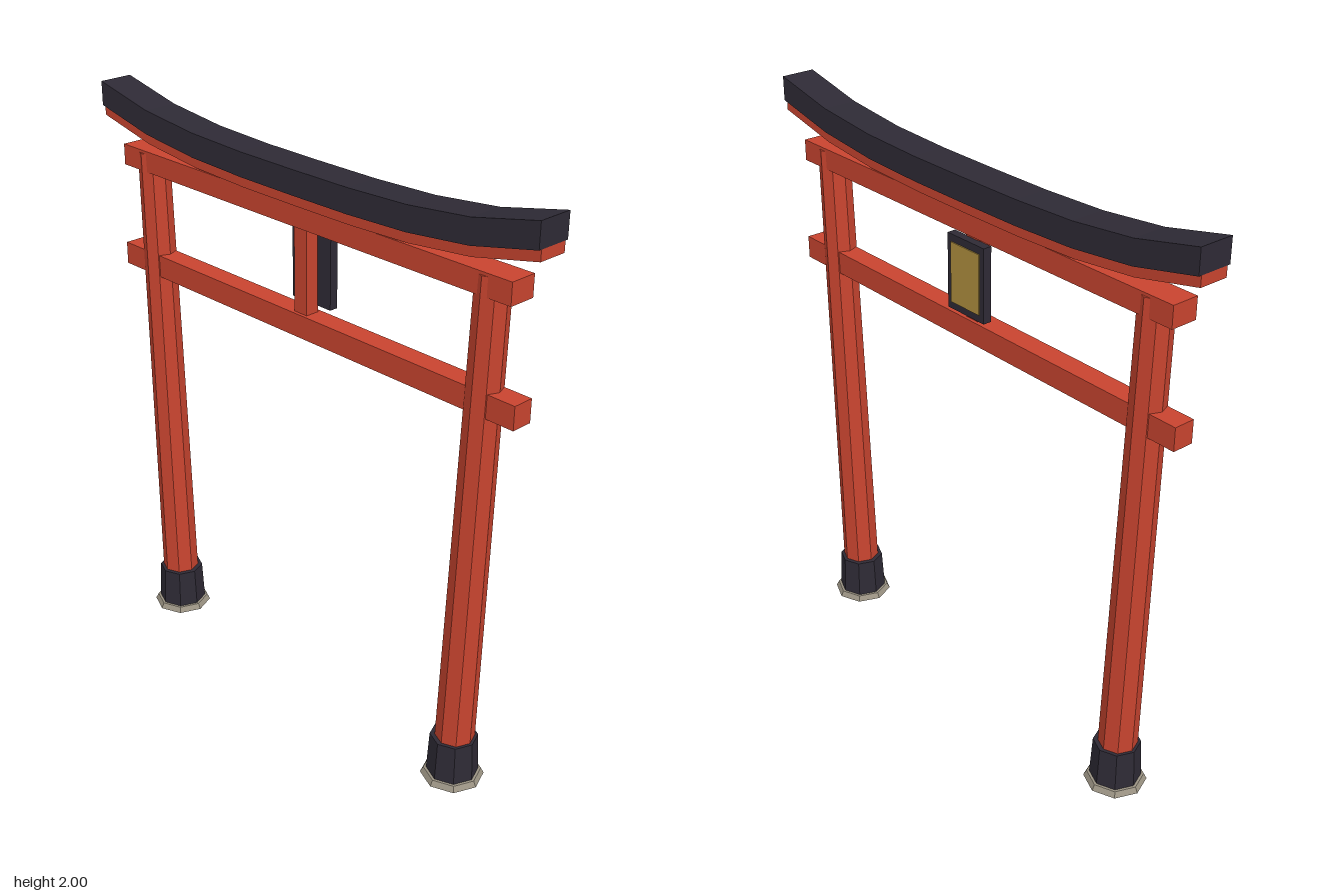
import * as THREE from 'three';

const material = (color) => new THREE.MeshStandardMaterial({ color, flatShading: true });

export function createModel() {
  const gate = new THREE.Group();
  gate.name = 'gate';
  const red = material(0xc8442f);
  const dark = material(0x2e2a35);
  const stone = material(0x9c9484);
  const gold = material(0xb0903f);

  const add = (name, geometry, mat, x = 0, y = 0, z = 0) => {
    const mesh = new THREE.Mesh(geometry, mat);
    mesh.name = name;
    mesh.position.set(x, y, z);
    gate.add(mesh);
    return mesh;
  };

  // Box given by its width, vertical range and depth range
  const block = (name, mat, width, y0, y1, z0, z1) =>
    add(name, new THREE.BoxGeometry(width, y1 - y0, z1 - z0), mat, 0, (y0 + y1) / 2, (z0 + z1) / 2);

  // Eight-sided drum standing on y0; lean shifts its top sideways
  const drum = (name, mat, rTop, rBottom, y0, y1, x, lean = 0) => {
    const h = y1 - y0;
    const geometry = new THREE.CylinderGeometry(rTop, rBottom, h, 8);
    geometry.translate(0, h / 2, 0);
    geometry.applyMatrix4(new THREE.Matrix4().makeShear(0, 0, lean / h, 0, 0, 0).identity()
      .set(1, lean / h, 0, 0, 0, 1, 0, 0, 0, 0, 1, 0, 0, 0, 0, 1));
    return add(name, geometry, mat, x, y0, 0);
  };

  // Beam whose ends sweep upward, in eight straight segments
  const sweptBeam = (name, mat, yBottom, yTop, depth) => {
    const half = 0.945, top = [], bottom = [];
    for (let i = -4; i <= 4; i++) {
      const t = i / 4;
      const rise = 0.086 * Math.pow(Math.abs(t), 3.2);
      top.push(new THREE.Vector2(t * half, yTop + rise));
      bottom.push(new THREE.Vector2(t * half, yBottom + rise));
    }
    const shape = new THREE.Shape([...bottom, ...top.reverse()]);
    const geometry = new THREE.ExtrudeGeometry(shape, { depth, bevelEnabled: false });
    geometry.translate(0, 0, -depth / 2);
    return add(name, geometry, mat);
  };

  // Leaning pillars with dark sleeves on stone feet
  for (const [side, s] of [['left', 1], ['right', -1]]) {
    drum(side + 'Foot', stone, 0.095, 0.105, 0, 0.02, s * 0.703);
    drum(side + 'Sleeve', dark, 0.079, 0.086, 0.02, 0.16, s * 0.703);
    drum(side + 'Pillar', red, 0.054, 0.066, 0.1, 1.79, s * 0.705, s * 0.048);
  }

  // Horizontal beams
  block('lowerTieBeam', red, 1.77, 1.357, 1.435, -0.037, 0.037);
  block('upperTieBeam', red, 1.71, 1.728, 1.8, -0.047, 0.047);
  sweptBeam('lintel', red, 1.797, 1.832, 0.1);
  sweptBeam('roofBeam', dark, 1.832, 1.914, 0.12);

  // Central strut carrying a framed panel on its back
  block('strut', red, 0.056, 1.43, 1.73, -0.025, 0.025);
  block('plaqueFrame', dark, 0.172, 1.457, 1.71, -0.052, -0.022);
  block('plaquePanel', gold, 0.135, 1.482, 1.685, -0.056, -0.045);

  return gate;
}
